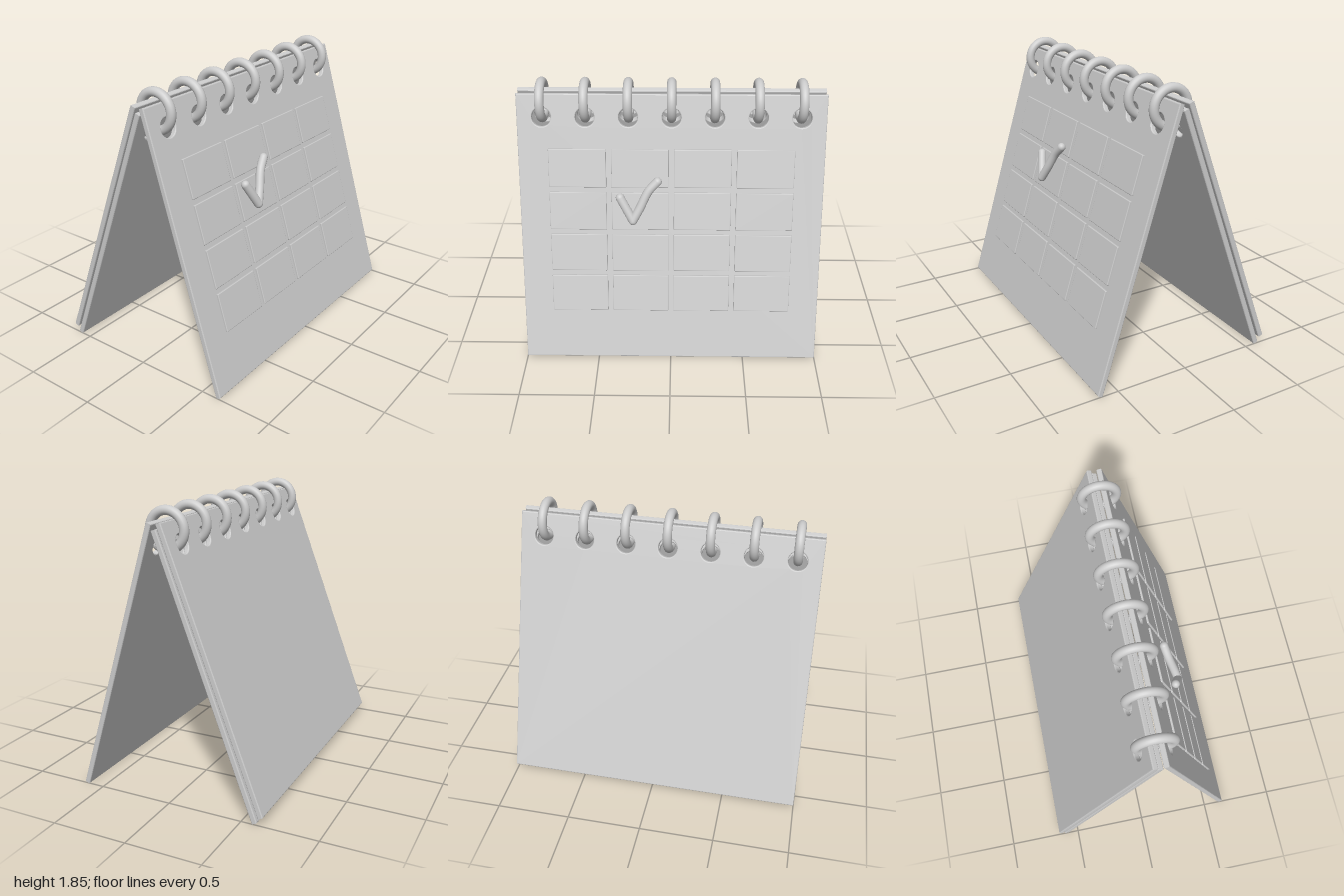
import * as THREE from 'three';
import { RoundedBoxGeometry } from 'three/addons/geometries/RoundedBoxGeometry.js';

const WIDTH = 2, LENGTH = 1.837, THICK = 0.036, BEVEL = 0.007;
const HOLE_Y = LENGTH - 0.152, HOLE_R = 0.062;
const ringX = Array.from({ length: 7 }, (_, i) => (i - 3) * 0.28);

const material = new THREE.MeshStandardMaterial({ color: 0xcccccc });

function addMesh(parent, name, geometry, x = 0, y = 0, z = 0) {
  const mesh = new THREE.Mesh(geometry, material);
  mesh.name = name;
  mesh.position.set(x, y, z);
  parent.add(mesh);
  return mesh;
}

// Flat board with a row of punched holes; its foot is at y = 0, its middle plane at z = 0
function boardGeometry() {
  const w = WIDTH / 2 - BEVEL;
  const shape = new THREE.Shape();
  shape.moveTo(-w, BEVEL);
  shape.lineTo(w, BEVEL);
  shape.lineTo(w, LENGTH - BEVEL);
  shape.lineTo(-w, LENGTH - BEVEL);
  shape.closePath();
  for (const x of ringX) {
    const hole = new THREE.Path();
    hole.absarc(x, HOLE_Y, HOLE_R + BEVEL, 0, Math.PI * 2, true);
    shape.holes.push(hole);
  }
  const geometry = new THREE.ExtrudeGeometry(shape, {
    depth: THICK - 2 * BEVEL, bevelEnabled: true, bevelSize: BEVEL,
    bevelThickness: BEVEL, bevelSegments: 3, curveSegments: 32,
  });
  return geometry.translate(0, 0, BEVEL - THICK / 2);
}

// Group whose local y runs from the foot towards the top of a leaning board
function leaningBoard(root, name, geometry, foot, top) {
  const group = new THREE.Group();
  group.name = name;
  group.position.set(0, foot.y, foot.z);
  group.rotation.x = Math.atan2(top.z - foot.z, top.y - foot.y);
  addMesh(group, name + 'Board', geometry);
  root.add(group);
  return group;
}

export function createModel() {
  const root = new THREE.Group();
  root.name = 'deskCalendar';

  // Front page and the two back leaves
  const board = boardGeometry();
  const front = leaningBoard(root, 'frontPage', board, { y: 0.006, z: 0.624 }, { y: 1.762, z: 0.09 });
  leaningBoard(root, 'innerBackLeaf', board, { y: 0.007, z: -0.587 }, { y: 1.728, z: 0.06 });
  leaningBoard(root, 'outerBackLeaf', board, { y: 0.05, z: -0.626 }, { y: 1.762, z: 0.025 });

  // Raised day cells, four by four
  const cell = new RoundedBoxGeometry(0.376, 0.256, 0.03, 2, 0.005);
  for (let row = 0; row < 4; row++) {
    for (let col = 0; col < 4; col++) {
      addMesh(front, 'dayCell', cell, (col - 1.5) * 0.41, 1.351 - row * 0.29, THICK / 2 - 0.002);
    }
  }

  // Check mark: two strokes with rounded ends and elbow
  const check = new THREE.Group();
  check.name = 'checkMark';
  check.position.z = 0.058;
  front.add(check);
  const r = 0.029;
  const p = (x, y) => new THREE.Vector3(x, y, 0);
  const start = p(-0.335, 1.162), elbow = p(-0.252, 1.005), end = p(-0.09, 1.272);
  const shortStroke = new THREE.LineCurve3(start, elbow);
  const longStroke = new THREE.CatmullRomCurve3([elbow, p(-0.205, 1.092), p(-0.15, 1.205), end]);
  addMesh(check, 'shortStroke', new THREE.TubeGeometry(shortStroke, 4, r, 20));
  addMesh(check, 'longStroke', new THREE.TubeGeometry(longStroke, 24, r, 20));
  const ball = new THREE.SphereGeometry(r, 20, 14);
  for (const [name, q] of [['shortEnd', start], ['elbow', elbow], ['longEnd', end]]) {
    const cap = addMesh(check, name, ball);
    cap.position.copy(q);
    if (name !== 'elbow') cap.scale.setScalar(0.99);
  }

  // Binding rings through the holes
  const ring = new THREE.TorusGeometry(0.117, 0.03, 20, 48).rotateY(Math.PI / 2);
  for (const x of ringX) addMesh(root, 'bindingRing', ring, x, 1.705, 0.06);

  return root;
}
